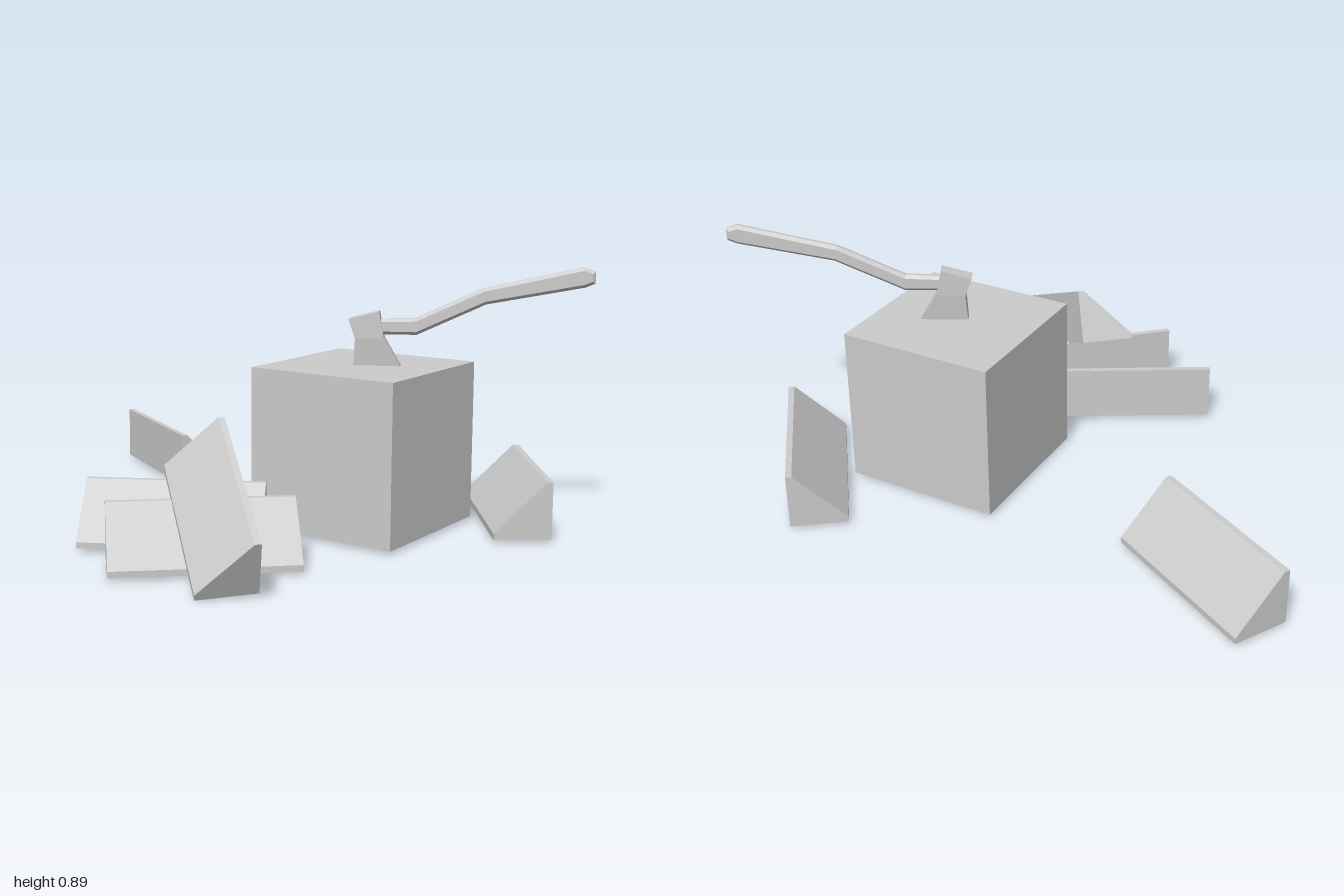
import * as THREE from 'three';

const material = new THREE.MeshStandardMaterial({ color: 0xcccccc, flatShading: true });

function addMesh(parent, geometry, name) {
  const mesh = new THREE.Mesh(geometry, material);
  mesh.name = name;
  parent.add(mesh);
  return mesh;
}

const toShape = (points) => new THREE.Shape(points.map(([x, y]) => new THREE.Vector2(x, y)));

// Split log: square-cornered wedge section, run along local z
const SIDE = 0.19, LIP = 0.02, LENGTH = 0.59;
const logGeometry = new THREE.ExtrudeGeometry(
  toShape([[0, 0], [SIDE, 0], [SIDE, LIP], [LIP, SIDE], [0, SIDE]]),
  { depth: LENGTH, bevelEnabled: false }
);

// Lays a log with its square corner edge running from start towards end
function addLog(parent, name, start, end, up = [0, 1, 0]) {
  const from = new THREE.Vector3(...start);
  const w = new THREE.Vector3(...end).sub(from).normalize();
  const u = new THREE.Vector3(...up).cross(w).normalize();
  const v = new THREE.Vector3().crossVectors(w, u);
  const log = addMesh(parent, logGeometry, name);
  log.quaternion.setFromRotationMatrix(new THREE.Matrix4().makeBasis(u, v, w));
  log.position.copy(from);
}

// Axe drawn in its own upright plane, then turned about y
function createAxe() {
  const axe = new THREE.Group();
  axe.name = 'axe';
  const x0 = 0.285, angle = 0.475;
  const profile = (points) => toShape(points.map(([x, y]) => [(x - x0) / Math.cos(angle), y]));

  // Head: thick at the top, wedging down into the block
  const head = new THREE.ExtrudeGeometry(profile([
    [0.285, 0.695], [0.305, 0.63], [0.3, 0.54], [0.295, 0.47],
    [0.475, 0.47], [0.44, 0.54], [0.39, 0.635], [0.375, 0.722],
  ]), { depth: 2, bevelEnabled: false });
  head.translate(0, 0, -1);
  const p = head.attributes.position;
  for (let i = 0; i < p.count; i++) {
    const half = THREE.MathUtils.clamp(0.015 + (p.getY(i) - 0.54) * 0.1, 0.003, 0.024);
    p.setZ(i, p.getZ(i) * half);
  }
  head.computeVertexNormals();
  addMesh(axe, head, 'axeHead');

  // Handle: bent flat bar with chamfered edges
  const handle = new THREE.ExtrudeGeometry(profile([
    [0.34, 0.645], [0.485, 0.645], [0.685, 0.75], [0.965, 0.81], [0.993, 0.823],
    [0.993, 0.862], [0.96, 0.875], [0.675, 0.802], [0.48, 0.7], [0.34, 0.695],
  ]), { depth: 0.012, bevelThickness: 0.01, bevelSize: 0.01, bevelOffset: -0.01, bevelSegments: 1 });
  handle.translate(0, 0, -0.006);
  addMesh(axe, handle, 'axeHandle');

  axe.position.set(x0, 0, -0.152);
  axe.rotation.y = angle;
  return axe;
}

export function createModel() {
  const model = new THREE.Group();
  model.name = 'choppingBlockWithAxe';

  const block = addMesh(model, new THREE.BoxGeometry(0.54, 0.54, 0.54), 'choppingBlock');
  block.position.set(0.327, 0.27, -0.185);

  addLog(model, 'logBackRight', [-1, 0, -0.515], [-0.49, 0, -0.225]);
  addLog(model, 'logBackLeft', [0.95, 0, -0.345], [0.6, 0, -0.815]);
  addLog(model, 'logFrontRight', [0.19, 0, 0.185], [-0.325, 0, 0.475]);
  addLog(model, 'logFrontMiddle', [0.365, 0, 0.28], [-0.06, 0, 0.675]);
  // Log leaning on the other two
  addLog(model, 'logLeaning', [0.51, 0, 0.67], [0.11, 0.265, 0.315], [0.055, 0.175, 0.065]);

  model.add(createAxe());
  return model;
}
